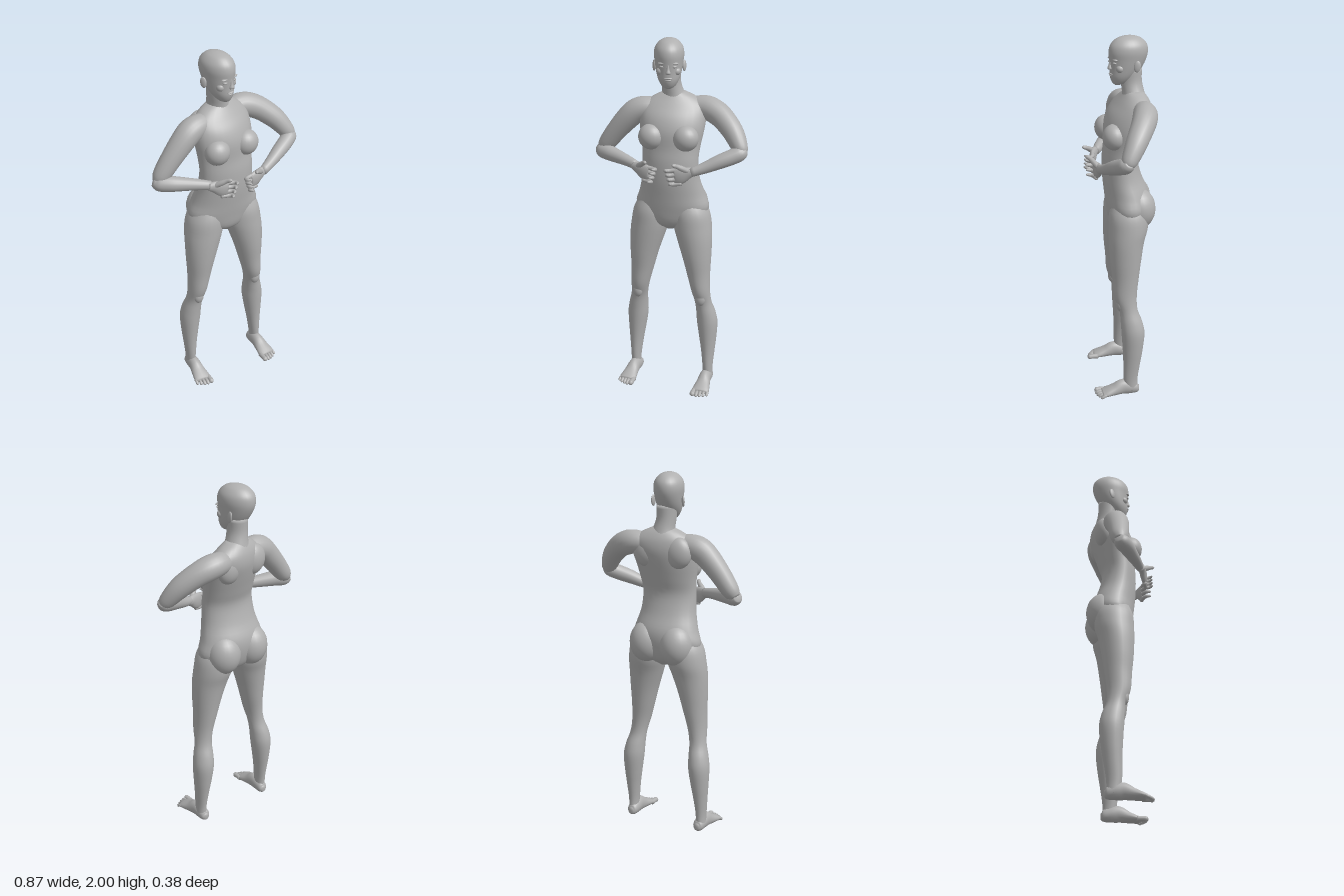
import * as THREE from 'three';

const skin = new THREE.MeshStandardMaterial({ color: 0xb0b0b0 });
skin.name = 'grey clay';

const UP = new THREE.Vector3(0, 1, 0);

function part(parent, name, geometry) {
  const mesh = new THREE.Mesh(geometry, skin);
  mesh.name = name;
  parent.add(mesh);
  return mesh;
}

// Closed smooth skin through rows [x, y, z, radiusA, radiusB, yaw].
// level: rings stay horizontal (A = x, B = z); otherwise they follow the path (A = up, B = side).
function loft(rows, level, sides = 20, steps = 4) {
  const path = new THREE.CatmullRomCurve3(rows.map(r => new THREE.Vector3(r[0], r[1], r[2])), false, 'catmullrom');
  const size = new THREE.CatmullRomCurve3(rows.map(r => new THREE.Vector3(r[3], r[4] ?? r[3], r[5] ?? 0)), false, 'catmullrom');
  const n = (rows.length - 1) * steps;
  const pos = [], index = [];
  const A = new THREE.Vector3(), B = new THREE.Vector3(), p = new THREE.Vector3();
  for (let i = 0; i <= n; i++) {
    const c = path.getPoint(i / n), s = size.getPoint(i / n);
    if (level) {
      A.set(Math.cos(s.z), 0, -Math.sin(s.z));
      B.set(-Math.sin(s.z), 0, -Math.cos(s.z));
    } else {
      const T = path.getTangent(i / n);
      A.copy(UP).addScaledVector(T, -T.y).normalize();
      B.crossVectors(T, A);
    }
    for (let j = 0; j < sides; j++) {
      const a = j / sides * Math.PI * 2;
      p.copy(c).addScaledVector(A, Math.max(s.x, 0.001) * Math.cos(a))
        .addScaledVector(B, Math.max(s.y, 0.001) * Math.sin(a));
      pos.push(p.x, p.y, p.z);
      if (i < n) {
        const k = i * sides, j2 = (j + 1) % sides;
        index.push(k + j, k + j2, k + sides + j, k + j2, k + sides + j2, k + sides + j);
      }
    }
  }
  // end caps
  const first = pos.length / 3, last = n * sides;
  for (const e of [0, 1]) { const c = path.getPoint(e); pos.push(c.x, c.y, c.z); }
  for (let j = 0; j < sides; j++) {
    const j2 = (j + 1) % sides;
    index.push(first, j2, j, first + 1, last + j, last + j2);
  }
  const g = new THREE.BufferGeometry();
  g.setAttribute('position', new THREE.Float32BufferAttribute(pos, 3));
  g.setIndex(index);
  g.computeVertexNormals();
  return g;
}

function ellipsoid(x, y, z, rx, ry, rz) {
  return new THREE.SphereGeometry(1, 24, 16).scale(rx, ry, rz).translate(x, y, z);
}

function addTorso(body) {
  part(body, 'torso', loft([
    [0, 0.955, -0.035, 0.03, 0.05, 0],
    [0, 1.0, -0.04, 0.15, 0.095, 0],
    [0, 1.08, -0.045, 0.207, 0.115, 0],
    [0, 1.16, -0.04, 0.185, 0.12, 0],
    [0, 1.25, -0.017, 0.162, 0.106, 0],
    [0, 1.35, -0.006, 0.155, 0.095, 0.03],
    [0, 1.43, -0.02, 0.16, 0.1, 0.09],
    [0, 1.52, -0.035, 0.174, 0.112, 0.17],
    [0, 1.59, -0.055, 0.178, 0.108, 0.24],
    [0, 1.645, -0.073, 0.165, 0.088, 0.25],
    [0, 1.685, -0.08, 0.115, 0.066, 0.25],
    [0, 1.715, -0.08, 0.05, 0.045, 0.25],
  ], true, 28));
  part(body, 'neck', loft([
    [0.0, 1.65, -0.085, 0.085, 0.07],
    [-0.006, 1.70, -0.08, 0.062, 0.06],
    [-0.017, 1.76, -0.07, 0.053, 0.057],
    [-0.02, 1.83, -0.065, 0.055, 0.062],
  ], true));

  // chest and upper back turn with the shoulders
  const chest = new THREE.Group();
  chest.name = 'chest';
  chest.rotation.y = 0.12;
  body.add(chest);
  for (const s of [-1, 1]) {
    part(chest, 'breast', ellipsoid(s * 0.093, 1.49, 0.045, 0.07, 0.07, 0.064));
    part(chest, 'shoulderBlade', ellipsoid(s * 0.09, 1.585, -0.11, 0.075, 0.085, 0.05));
    part(body, 'buttock', ellipsoid(s * 0.092, 1.08, -0.095, 0.095, 0.115, 0.095));
  }
}

function addHead(body) {
  const head = new THREE.Group();
  head.name = 'head';
  head.position.set(-0.023, 0, -0.052);
  head.rotation.y = 0.27;
  body.add(head);
  part(head, 'skull', loft([
    [0, 1.744, 0.058, 0.012, 0.012],
    [0, 1.758, 0.045, 0.036, 0.041],
    [0, 1.79, 0.03, 0.056, 0.068],
    [0, 1.83, 0.012, 0.068, 0.087],
    [0, 1.88, 0, 0.076, 0.102],
    [0, 1.92, -0.003, 0.08, 0.107],
    [0, 1.955, -0.004, 0.073, 0.098],
    [0, 1.983, -0.004, 0.051, 0.07],
    [0, 1.996, -0.004, 0.026, 0.036],
    [0, 2.0, -0.004, 0.002, 0.002],
  ], true, 28));
  part(head, 'nose', loft([
    [0, 1.826, 0.094, 0.008, 0.006],
    [0, 1.835, 0.1, 0.014, 0.014],
    [0, 1.855, 0.097, 0.008, 0.011],
    [0, 1.885, 0.091, 0.006, 0.01],
  ], true, 12));
  part(head, 'upperLip', ellipsoid(0, 1.806, 0.093, 0.022, 0.006, 0.012));
  part(head, 'lowerLip', ellipsoid(0, 1.796, 0.09, 0.019, 0.007, 0.012));
  part(head, 'chin', ellipsoid(0, 1.766, 0.07, 0.023, 0.018, 0.018));
  for (const s of [-1, 1]) {
    part(head, 'eye', ellipsoid(s * 0.031, 1.866, 0.084, 0.014, 0.007, 0.013));
    part(head, 'brow', ellipsoid(s * 0.031, 1.884, 0.085, 0.023, 0.006, 0.012));
    part(head, 'cheek', ellipsoid(s * 0.042, 1.838, 0.062, 0.022, 0.022, 0.022));
    const ear = part(head, 'ear', ellipsoid(0, 0, 0, 0.008, 0.03, 0.018));
    ear.position.set(s * 0.08, 1.85, -0.02);
    ear.rotation.set(-0.15, -s * 0.35, 0);
  }
}

// Arms differ slightly because the shoulders are turned
function addArms(body) {
  part(body, 'leftUpperArm', loft([
    [0.07, 1.62, -0.1, 0.05], [0.14, 1.628, -0.118, 0.062], [0.2, 1.617, -0.112, 0.066],
    [0.265, 1.585, -0.088, 0.062], [0.335, 1.525, -0.047, 0.056],
    [0.385, 1.455, -0.007, 0.043], [0.398, 1.428, 0.008, 0.028],
  ]));
  part(body, 'leftForearm', loft([
    [0.412, 1.452, -0.005, 0.022], [0.392, 1.432, 0.008, 0.04], [0.345, 1.41, 0.034, 0.041],
    [0.29, 1.388, 0.06, 0.038], [0.22, 1.357, 0.09, 0.03], [0.155, 1.334, 0.118, 0.024, 0.022],
  ]));
  part(body, 'rightUpperArm', loft([
    [-0.07, 1.615, -0.055, 0.05], [-0.14, 1.618, -0.042, 0.062], [-0.195, 1.602, -0.034, 0.067],
    [-0.245, 1.56, -0.027, 0.064], [-0.315, 1.48, -0.024, 0.056],
    [-0.375, 1.4, -0.024, 0.047], [-0.4, 1.365, -0.022, 0.03],
  ]));
  part(body, 'rightForearm', loft([
    [-0.422, 1.372, -0.03, 0.024], [-0.395, 1.362, -0.014, 0.042], [-0.345, 1.359, 0.016, 0.042],
    [-0.29, 1.354, 0.042, 0.037], [-0.22, 1.347, 0.075, 0.03], [-0.155, 1.337, 0.105, 0.025, 0.022],
  ]));
}

// Hands held before the waist with the fingers curling forward
function addHand(body, s) {
  const hand = new THREE.Group();
  hand.name = s > 0 ? 'leftHand' : 'rightHand';
  body.add(hand);
  part(hand, 'palm', loft([
    [s * 0.17, 1.336, 0.108, 0.022, 0.02], [s * 0.14, 1.33, 0.118, 0.033, 0.019],
    [s * 0.105, 1.316, 0.128, 0.045, 0.018], [s * 0.078, 1.306, 0.134, 0.043, 0.014],
    [s * 0.07, 1.305, 0.136, 0.03, 0.008],
  ], false, 16));
  for (let i = 0; i < 4; i++) {
    const y = 1.342 - i * 0.024, x = i * 0.008;
    part(hand, 'finger', loft([
      [s * (0.085 + x), y, 0.132, 0.011], [s * (0.05 + x), y - 0.004, 0.137, 0.0115],
      [s * (0.031 + x), y - 0.002, 0.15, 0.0105], [s * (0.031 + x), y + 0.003, 0.168, 0.009],
      [s * (0.042 + x), y + 0.006, 0.18, 0.004],
    ], false, 10));
  }
  part(hand, 'thumb', loft([
    [s * 0.14, 1.34, 0.122, 0.014], [s * 0.115, 1.358, 0.142, 0.015], [s * 0.093, 1.373, 0.16, 0.012],
    [s * 0.08, 1.382, 0.178, 0.01], [s * 0.076, 1.384, 0.188, 0.004],
  ], false, 10));
}

function addLeg(body, s) {
  const leg = new THREE.Group();
  leg.name = s > 0 ? 'leftLeg' : 'rightLeg';
  leg.position.x = s > 0 ? 0 : -0.006;
  body.add(leg);
  part(leg, 'thighAndShin', loft([
    [0.218, 0.03, -0.045, 0.027, 0.036], [0.217, 0.1, -0.041, 0.028, 0.04], [0.215, 0.2, -0.048, 0.038, 0.048],
    [0.212, 0.28, -0.053, 0.048, 0.056], [0.207, 0.38, -0.055, 0.058, 0.064], [0.2, 0.45, -0.047, 0.054, 0.06],
    [0.188, 0.52, -0.031, 0.047, 0.051], [0.176, 0.6, -0.016, 0.052, 0.063], [0.162, 0.7, -0.018, 0.065, 0.073],
    [0.15, 0.8, -0.02, 0.081, 0.085], [0.134, 0.9, -0.026, 0.098, 0.096], [0.119, 0.98, -0.037, 0.107, 0.107],
    [0.11, 1.06, -0.04, 0.1, 0.105], [0.1, 1.13, -0.04, 0.07, 0.08],
  ].map(([x, ...r]) => [s * x, ...r]), true, 22));
  part(leg, 'kneecap', ellipsoid(s * 0.184, 0.555, 0.012, 0.03, 0.045, 0.025));
  part(leg, 'foot', loft([
    [0.213, 0.034, -0.09, 0.014, 0.012], [0.213, 0.034, -0.075, 0.031, 0.028], [0.214, 0.042, -0.035, 0.042, 0.033],
    [0.215, 0.045, 0.005, 0.045, 0.034], [0.217, 0.032, 0.05, 0.032, 0.041], [0.219, 0.021, 0.095, 0.021, 0.048],
    [0.221, 0.016, 0.12, 0.014, 0.044],
  ].map(([x, ...r]) => [s * x, ...r]), false, 18));
  // toes, big toe on the inner side
  for (let i = 0; i < 5; i++) {
    const r = i ? 0.0105 - i * 0.0005 : 0.0145;
    const x = i ? 0.187 + i * 0.0185 : 0.183, tip = 0.162 - i * i * 0.0018;
    part(leg, 'toe', loft([
      [s * x, 0.017, 0.1, r], [s * x, 0.017, tip - 0.025, r * 0.95],
      [s * (x + 0.001), r, tip - 0.01, r], [s * (x + 0.001), r * 0.9, tip, r * 0.4],
    ], false, 10));
  }
}

export function createModel() {
  const body = new THREE.Group();
  body.name = 'standingFigure';
  addTorso(body);
  addHead(body);
  addArms(body);
  for (const s of [-1, 1]) {
    addHand(body, s);
    addLeg(body, s);
  }
  return body;
}
